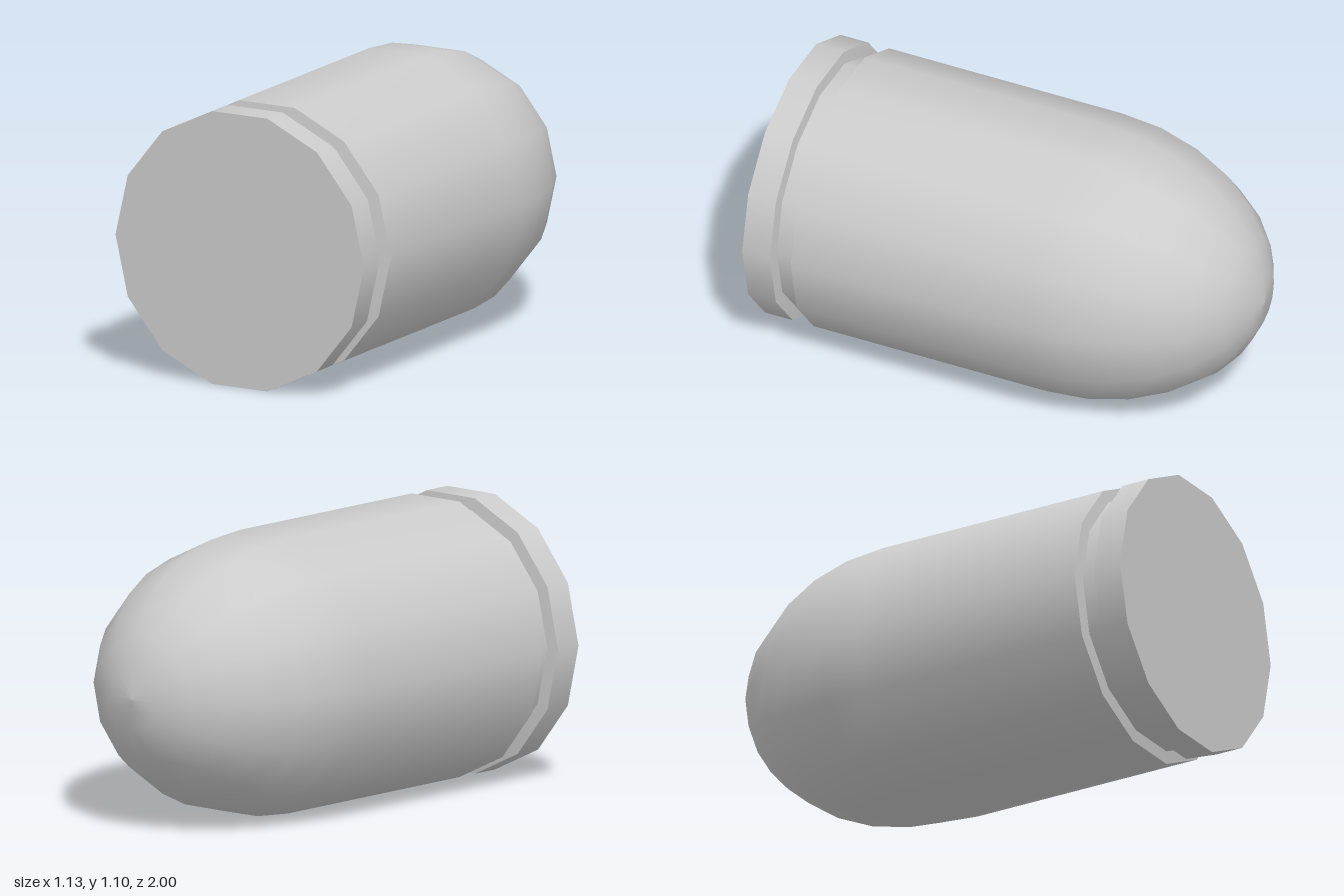
import * as THREE from 'three';

const SIDES = 14;
const R = 0.565;       // body radius
const GROOVE = 0.515;  // groove radius
const NOSE_START = -0.22;
const NOSE_LENGTH = 0.78;
const NOSE_RINGS = 7;

export function createModel() {
  const model = new THREE.Group();
  const material = new THREE.MeshStandardMaterial({ color: 0xcccccc });

  const add = (name, geometry) => {
    const mesh = new THREE.Mesh(geometry, material);
    mesh.name = name;
    mesh.position.y = R * Math.cos(Math.PI / SIDES);
    model.add(mesh);
  };

  // Revolves [radius, z] points about the z axis, with a corner on +x
  const addTurned = (name, profile) => {
    const points = profile.map(([r, z]) => new THREE.Vector2(r, z));
    add(name, new THREE.LatheGeometry(points, SIDES, Math.PI / 2).rotateX(Math.PI / 2));
  };

  // Elliptical nose running smoothly into the straight body
  const shell = [];
  for (let i = 0; i <= NOSE_RINGS; i++) {
    const a = (i / NOSE_RINGS) * Math.PI / 2;
    shell.push([R * Math.sin(a), NOSE_START - NOSE_LENGTH * Math.cos(a)]);
  }
  shell.push([R, 0.79]);
  addTurned('noseAndBody', shell);

  // Groove, with separate pieces so its edges stay sharp
  addTurned('grooveBackBevel', [[R, 0.79], [GROOVE, 0.797]]);
  addTurned('grooveFloor', [[GROOVE, 0.797], [GROOVE, 0.873]]);
  addTurned('grooveFrontBevel', [[GROOVE, 0.873], [R, 0.88]]);

  // Rim and flat base
  addTurned('rim', [[R, 0.88], [R, 1]]);
  add('base', new THREE.CircleGeometry(R, SIDES).translate(0, 0, 1));

  return model;
}
